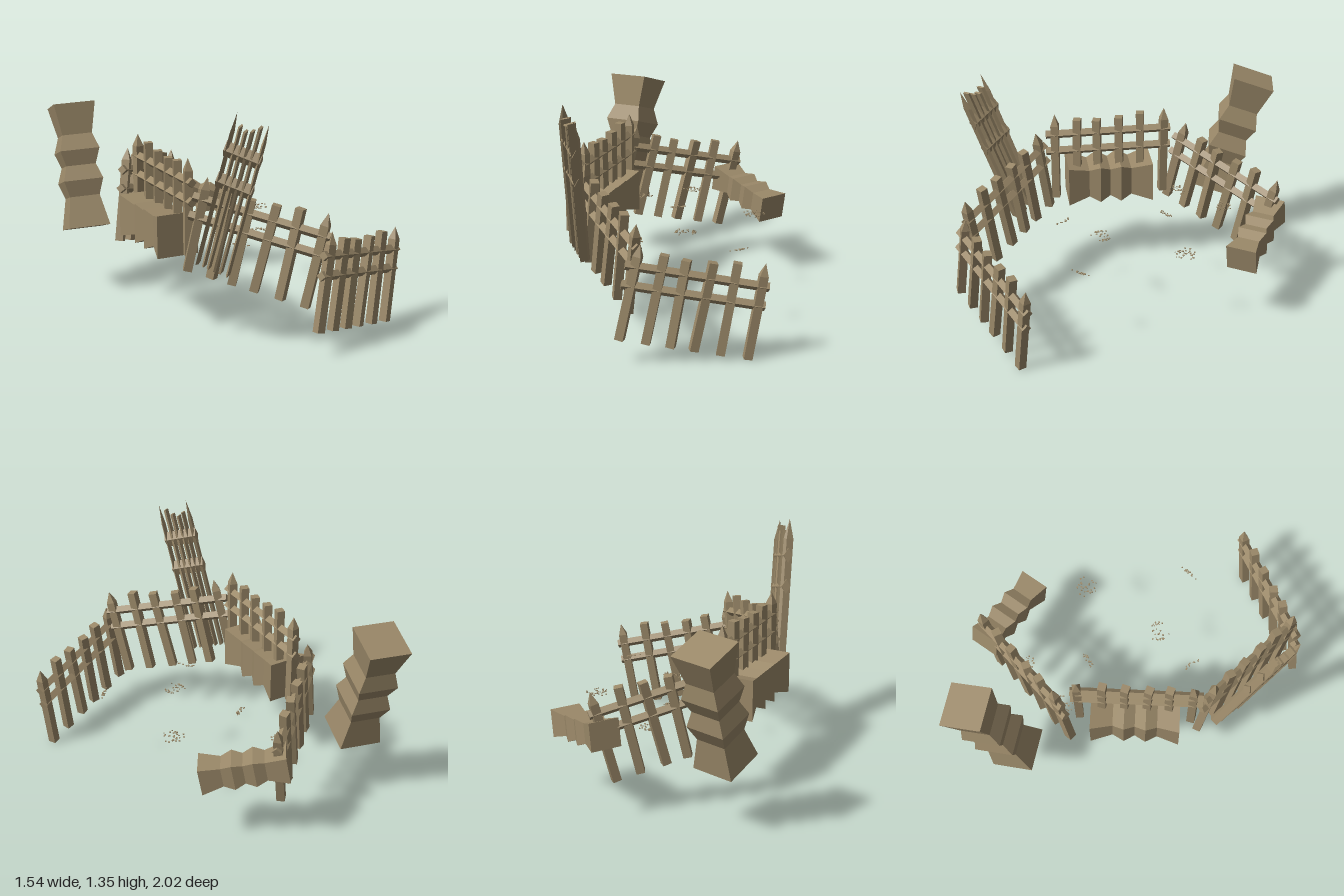
import * as THREE from 'three';
import { mergeGeometries } from 'three/addons/utils/BufferGeometryUtils.js';

const V = (a) => new THREE.Vector3(...a);

function seeded(seed) {
  return () => {
    seed = (seed * 16807) % 2147483647;
    return seed / 2147483647;
  };
}

function facet(geometry) {
  const g = geometry.index ? geometry.toNonIndexed() : geometry;
  g.computeVertexNormals();
  return g;
}

// Orients an object so that its x axis follows `side` and its y axis `up`
function place(object, origin, side, up, scale) {
  const y = up.clone().normalize();
  const x = side.clone().addScaledVector(y, -side.dot(y)).normalize();
  const z = new THREE.Vector3().crossVectors(x, y);
  object.quaternion.setFromRotationMatrix(new THREE.Matrix4().makeBasis(x, y, z));
  object.position.copy(origin);
  object.scale.set(...scale);
  return object;
}

export function createModel() {
  const model = new THREE.Group();
  const wood = new THREE.MeshStandardMaterial({ color: 0x9b8969 });
  wood.name = 'weathered wood';
  const rand = seeded(77);

  const addMesh = (parent, name, geometry) => {
    const mesh = new THREE.Mesh(geometry, wood);
    mesh.name = name;
    parent.add(mesh);
    return mesh;
  };

  // Fence panel: origin at the middle of the upper rail
  const posts = [[-0.325, 0.13], [-0.19, 0.09], [-0.07, 0.08], [0.065, 0.09], [0.195, 0.11], [0.34, 0.13]];
  const foot = -0.42;
  function fencePanel(name) {
    const panel = new THREE.Group();
    panel.name = name;
    posts.forEach(([x, top], i) => {
      const pointed = i === 0 || i === posts.length - 1;
      const shaftTop = pointed ? top - 0.07 : top;
      const h = shaftTop - foot;
      const parts = [new THREE.CylinderGeometry(0.033, 0.033, h, 4).translate(0, foot + h / 2, 0)];
      if (pointed) parts.push(new THREE.ConeGeometry(0.033, 0.07, 4).translate(0, top - 0.035, 0));
      const post = mergeGeometries(parts.map(facet));
      post.rotateY(Math.PI / 4 + (rand() - 0.5) * 0.7);
      post.rotateZ((rand() - 0.5) * 0.05);
      addMesh(panel, 'post', post).position.x = x;
    });
    for (const y of [0, -0.11]) {
      const rail = facet(new THREE.CylinderGeometry(0.027, 0.027, 0.76, 4));
      addMesh(panel, 'rail', rail.rotateZ(Math.PI / 2).translate(0, y, 0));
    }
    model.add(panel);
    return panel;
  }

  // Standing panels, given by the two ends of the upper rail
  const panels = [
    ['frontFence', [0.07, 0.56, 0.98], [0.76, 0.41, 0.65]],
    ['frontCornerFence', [-0.43, 0.82, 0.44], [0.13, 0.645, 0.95]],
    ['sideFence', [-0.43, 0.89, 0.43], [-0.43, 0.89, -0.32]],
    ['backFence', [-0.5, 0.795, -0.36], [0.07, 0.61, -0.88]],
  ];
  for (const [name, a, b] of panels) {
    const p = V(a), q = V(b), d = q.clone().sub(p);
    const n = new THREE.Vector3().crossVectors(d, V([0, 1, 0]));
    const up = new THREE.Vector3().crossVectors(n, d);
    place(fencePanel(name), p.add(q).multiplyScalar(0.5), d, up, [d.length() / 0.76, 1, 1]);
  }

  // Tall narrow panel leaning outwards
  place(fencePanel('tallFence'), V([-0.315, 1.112, 0.793]),
    V([0.12, -0.06, 0.125]), V([0.09, 0.945, 0.315]), [0.27, 1.7, 1]);

  // Pinched square blocks, unit sized
  const rings = [[0.5, -0.5], [0.36, -0.25], [0.475, -0.122], [0.36, 0], [0.475, 0.122], [0.36, 0.25], [0.5, 0.5]];
  const profile = [[0, -0.5], ...rings.map(([w, y]) => [w * Math.SQRT2, y]), [0, 0.5]];
  const blockGeometry = facet(
    new THREE.LatheGeometry(profile.map(([r, y]) => new THREE.Vector2(r, y)), 4).rotateY(Math.PI / 4));
  const blocks = [
    ['sideBlock', [-0.46, 0.57, -0.205], [-0.46, 0.57, 0.305], [1, 0, 0], 0.25, 0.245],
    ['towerBlock', [-0.625, 0.39, -0.63], [-0.61, 1.1, -0.865], [0.245, 0.015, 0.045], 0.25, 0.25],
    ['backBlock', [-0.02, 0.51, -0.865], [0.383, 0.42, -0.605], [-0.26, 0, 0.4], 0.18, 0.16],
  ];
  for (const [name, a, b, side, w, h] of blocks) {
    const p = V(a), q = V(b), axis = q.clone().sub(p);
    place(addMesh(model, name, blockGeometry), p.add(q).multiplyScalar(0.5),
      V(side), axis, [w, axis.length(), h]);
  }

  // Ground debris: clusters as x, z, half extents in x and z, skew, count
  const clusters = [
    [-0.14, -0.6, 0.055, 0.05, 0, 24], [-0.38, -0.37, 0.065, 0.05, 0, 24],
    [0.37, -0.28, 0.07, 0.06, 0, 30], [0.1, 0.17, 0.065, 0.06, 0, 30],
    [-0.1, -0.245, 0.05, 0.015, -0.6, 14], [-0.1, 0.365, 0.035, 0.02, 1.2, 12],
    [0.485, 0.335, 0.04, 0.015, -1.1, 14],
  ];
  const bits = [];
  for (const [x, z, rx, rz, skew, count] of clusters) {
    for (let i = 0; i < count; i++) {
      const a = rand() * Math.PI * 2, r = Math.sqrt(rand());
      const dx = Math.cos(a) * r * rx, dz = Math.sin(a) * r * rz + dx * skew;
      const s = 0.005 + rand() * 0.005;
      bits.push(new THREE.BoxGeometry(s, 0.004, s).rotateY(a).translate(x + dx, 0.48, z + dz));
    }
  }
  addMesh(model, 'groundDebris', mergeGeometries(bits));

  return model;
}
